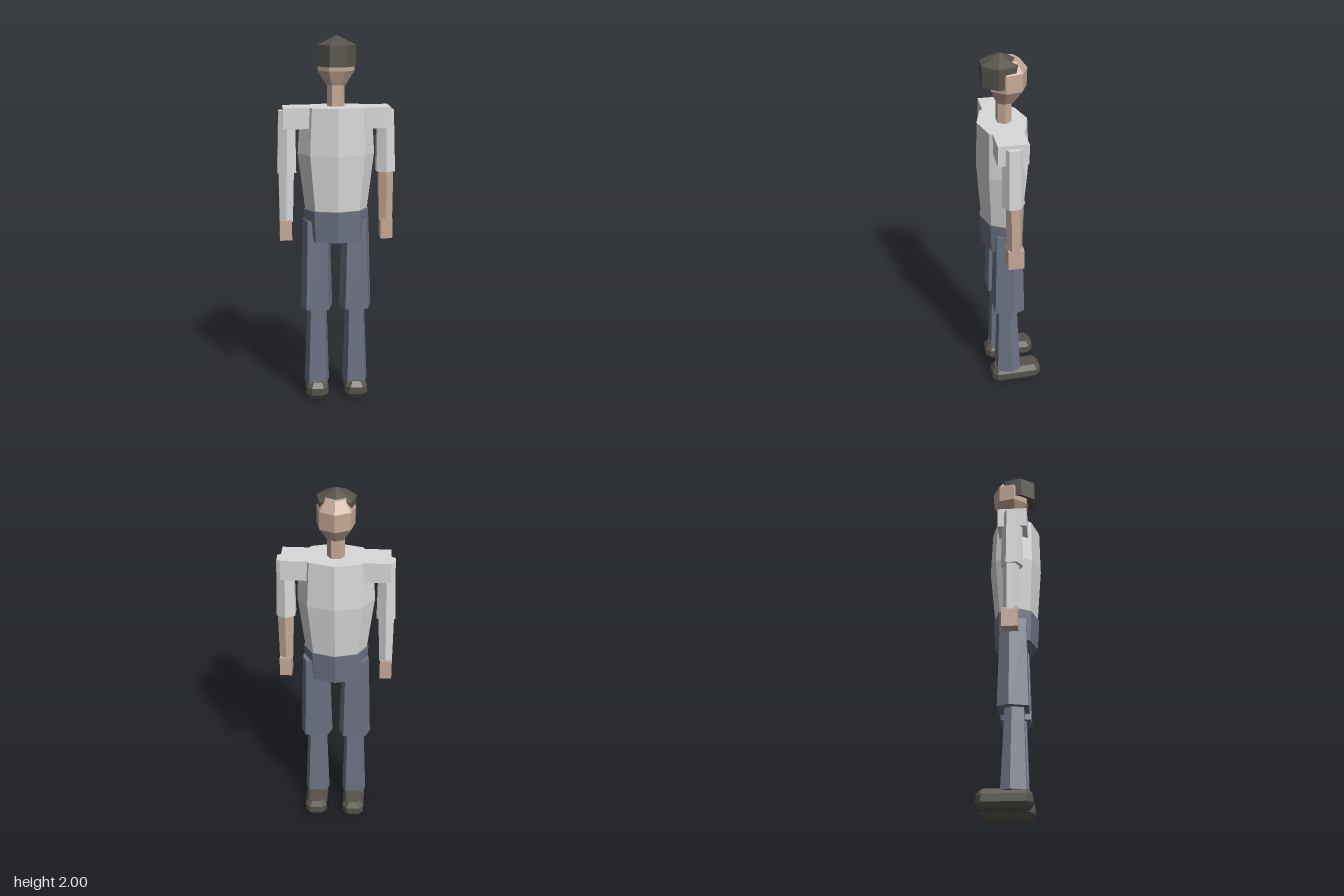
import * as THREE from 'three';

const mat = (name, color) => {
  const m = new THREE.MeshStandardMaterial({ color, flatShading: true });
  m.name = name;
  return m;
};

// Elliptical ring of n points at height y; start is the angle of the first point
const ring = (n, y, cx, cz, rx, rz, start = 0) =>
  Array.from({ length: n }, (_, i) => {
    const a = start + (i / n) * Math.PI * 2;
    return [cx + rx * Math.cos(a), y, cz + rz * Math.sin(a)];
  });

// Skin a stack of rings from bottom to top and cap both ends
function loft(rings) {
  const pos = [];
  const tri = (...pts) => pts.forEach((p) => pos.push(...p));
  const n = rings[0].length;
  const mid = (r) => [0, 1, 2].map((k) => r.reduce((s, p) => s + p[k], 0) / n);
  const low = rings[0], top = rings[rings.length - 1];
  const lowMid = mid(low), topMid = mid(top);
  for (let i = 0; i < n; i++) {
    const j = (i + 1) % n;
    for (let k = 0; k < rings.length - 1; k++) {
      const a = rings[k], b = rings[k + 1];
      tri(a[i], b[i], a[j]);
      tri(a[j], b[i], b[j]);
    }
    tri(lowMid, low[i], low[j]);
    tri(topMid, top[j], top[i]);
  }
  const g = new THREE.BufferGeometry();
  g.setAttribute('position', new THREE.Float32BufferAttribute(pos, 3));
  g.computeVertexNormals();
  return g;
}

// Box given by its limits on each axis
function boxBetween(x0, x1, y0, y1, z0, z1) {
  return new THREE.BoxGeometry(x1 - x0, y1 - y0, z1 - z0)
    .translate((x0 + x1) / 2, (y0 + y1) / 2, (z0 + z1) / 2);
}

// Six-sided leg section: wide front and back, pointed sides
const legRing = (y, cx, w, z0, z1) => {
  const c = w * 0.7, zm = z0 + (z1 - z0) * 0.38;
  return [[w, zm], [c, z1], [-c, z1], [-w, zm], [-c, z0], [c, z0]].map(([x, z]) => [cx + x, y, z]);
};

// Rectangle with cut corners for the shoes
const shoeRing = (y, cx, inset) => {
  const w = 0.061 - inset, b = 0.115 - inset, f = -0.168 + inset, c = 0.027 - inset * 0.4;
  return [[w, f + c], [w, b - c], [w - c, b], [c - w, b], [-w, b - c], [-w, f + c], [c - w, f], [w - c, f]]
    .map(([x, z]) => [cx + x, y, z]);
};

export function createModel() {
  const model = new THREE.Group();
  model.name = 'figure';
  const shirt = mat('shirt grey', 0xd9d9d9);
  const trousers = mat('trouser blue', 0x6d7385);
  const skin = mat('skin', 0xc7aa98);
  const dark = mat('dark brown', 0x57534b);
  dark.side = THREE.DoubleSide;

  const add = (name, geometry, material) => {
    const m = new THREE.Mesh(geometry, material);
    m.name = name;
    model.add(m);
  };

  // Body
  add('torso', loft([
    ring(8, 1.06, 0, 0.028, 0.165, 0.115),
    ring(8, 1.38, 0, 0.024, 0.205, 0.141),
    ring(8, 1.63, 0, 0.027, 0.19, 0.132),
  ]), shirt);
  add('pelvis', loft([
    ring(8, 0.91, 0, 0.027, 0.165, 0.116),
    ring(8, 1.08, 0, 0.029, 0.176, 0.124),
  ]), trousers);

  // Head, facing -z
  const faceWay = -Math.PI / 2;
  add('neck', loft([
    ring(6, 1.58, 0, 0.018, 0.046, 0.042),
    ring(6, 1.78, 0, 0.018, 0.046, 0.042),
  ]), skin);
  add('head', loft([
    ring(7, 1.74, 0, 0.012, 0.052, 0.052, faceWay),
    ring(7, 1.815, 0, 0, 0.1, 0.1, faceWay),
    ring(7, 1.91, 0, 0, 0.1, 0.103, faceWay),
    ring(7, 1.965, 0, 0.002, 0.06, 0.063, faceWay),
  ]), skin);

  // Hair: high fringe over the face, stepping down behind the ears
  const hairTop = ring(7, 1.95, 0, 0.037, 0.103, 0.109, faceWay);
  const earL = [0.095, 1.95, 0.03], earR = [-0.095, 1.95, 0.03];
  const rim = [...hairTop.slice(0, 2), earL, earL, ...hairTop.slice(2, 6), earR, earR, hairTop[6]];
  const hairLow = rim.map(([x, , z], i) => [x, i >= 3 && i <= 8 ? 1.84 : 1.905, z]);
  const crown = rim.map(() => [0, 2, 0.037]);
  add('hair', loft([hairLow, rim, crown]), dark);

  for (const s of [1, -1]) {
    const side = s > 0 ? 'left' : 'right';

    // Arms: the left forearm is bare, the right one sleeved
    const x = (a, b) => (s > 0 ? [a, b] : [-b, -a]);
    add(side + 'Shoulder', boxBetween(...x(0.1, 0.283), 1.52, 1.63, -0.055, 0.103), shirt);
    add(side + 'UpperArm', loft([
      ring(6, 1.28, s * 0.265, 0.023, 0.058, 0.06, Math.PI / 6),
      ring(6, 1.61, s * 0.262, 0.023, 0.05, 0.054, Math.PI / 6),
    ]), shirt);
    add(side + 'Forearm', loft([
      ring(6, 1.01, s * 0.27, 0.017, 0.041, 0.04, Math.PI / 6),
      ring(6, 1.3, s * 0.267, 0.018, 0.047, 0.045, Math.PI / 6),
    ]), s > 0 ? skin : shirt);
    add(side + 'Hand', boxBetween(...x(0.24, 0.305), 0.91, 1.02, -0.03, 0.055), skin);

    // Legs
    add(side + 'Thigh', loft([
      legRing(0.525, s * 0.107, 0.088, -0.063, 0.1),
      legRing(1.02, s * 0.107, 0.073, -0.05, 0.088),
    ]), trousers);
    add(side + 'Shin', loft([
      legRing(0.09, s * 0.107, 0.069, -0.045, 0.086),
      legRing(0.54, s * 0.105, 0.053, -0.025, 0.074),
    ]), trousers);
    add(side + 'Shoe', loft([
      shoeRing(0, s * 0.108, 0.02),
      shoeRing(0.03, s * 0.108, 0),
      shoeRing(0.07, s * 0.108, 0),
      shoeRing(0.1, s * 0.108, 0.02),
    ]), dark);
  }
  return model;
}
